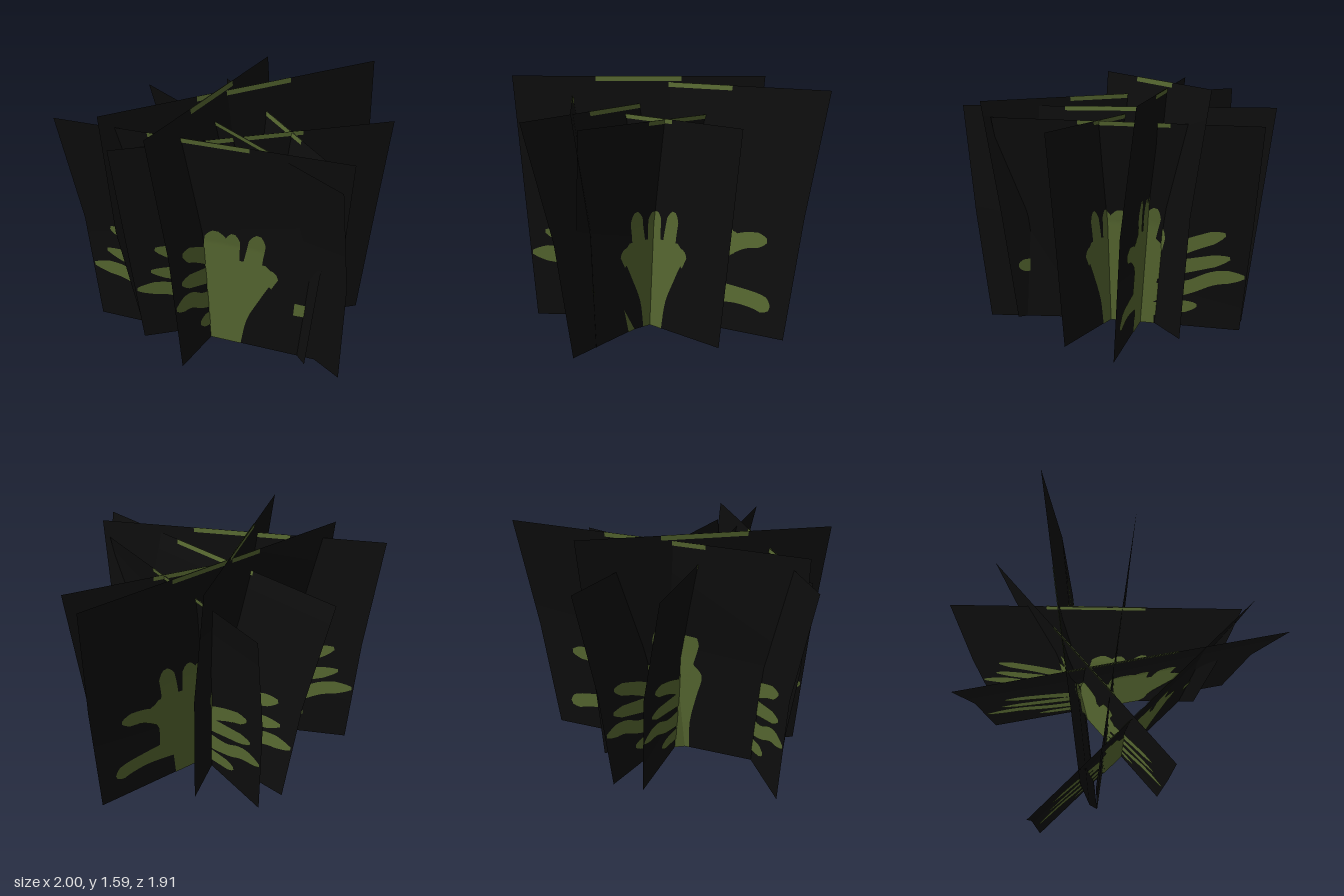
import * as THREE from 'three';

const dark = new THREE.MeshStandardMaterial({ color: 0x0d0d0d, side: THREE.DoubleSide });
dark.name = 'dark backing';
const green = new THREE.MeshStandardMaterial({ color: 0x566730, side: THREE.DoubleSide });
green.name = 'leaf green';

// Pattern space of the foliage: centred width and height
const W = 1.77, H = 1.46;

// Strokes as [x, y, half width]
const fan = [
  [[.03, 0, .22], [.05, .2, .24], [.08, .4, .31], [.1, .56, .36], [.1, .63, .3]],
  [[.4, .5, .06], [.46, .59, .05]],
  [[.3, .52, .07], [.32, .68, .06], [.35, .84, .055]],
  [[.06, .5, .1], [.06, .68, .09], [.06, .82, .07]],
  [[.17, .55, .05], [.17, .7, .05], [.18, .82, .045]],
  [[-.1, .5, .07], [-.15, .68, .06], [-.2, .85, .055]],
];
const leftBranches = [
  [[-.15, .46, .06], [-.45, .6, .05], [-.7, .69, .045]],
  [[-.15, .38, .06], [-.45, .45, .05], [-.75, .52, .04]],
  [[-.12, .22, .07], [-.45, .29, .05], [-.65, .37, .05], [-.87, .39, .045]],
  [[-.12, .1, .05], [-.53, .16, .04]],
];
const rightBranches = [
  [[.25, .22, .07], [.5, .22, .05], [.66, .2, .05], [.75, .17, .05]],
  [[.25, .42, .07], [.5, .55, .05], [.67, .57, .045]],
  [[.33, .25, .06], [.36, .66, .04]],
];
const rightLeaf = [[[.62, .35, .045], [.82, .35, .04]]];

// Each card: height and its bottom, middle and top edges as [x0, z0, x1, z1]
const cards = [
  { name: 'frontCard', h: 1.46, strokes: [...fan, ...leftBranches, ...rightLeaf],
    rows: [[-.8, .372, .79, .475], [-.88, .4, .885, .51], [-1, .51, .965, .62]] },
  { name: 'longDiagonalCard', h: 1.41, strokes: [...fan, ...leftBranches],
    rows: [[-.425, -.41, .92, .62], [-.543, -.43, .97, .725], [-.72, -.377, .965, .906]] },
  { name: 'backLeftCard', h: 1.55, strokes: [...fan, ...rightBranches],
    rows: [[-.4, .555, .725, -.69], [-.56, .615, .745, -.805], [-.65, .61, .725, -.96]] },
  { name: 'backRightCard', h: 1.355, strokes: [...fan, ...leftBranches],
    rows: [[-.29, -.57, .68, .545], [-.318, -.666, .77, .585], [-.297, -.805, .91, .58]] },
  { name: 'uprightCard', h: 1.36, strokes: [...fan, ...leftBranches],
    rows: [[-.41, .563, .83, -.267], [-.49, .615, .91, -.32], [-.57, .666, .995, -.37]] },
  { name: 'sideCard', h: 1.59, strokes: [...fan, ...leftBranches],
    rows: [[-.045, .815, .142, -.516], [-.094, .885, .12, -.6], [-.2, .955, .035, -.7]] },
];

// Point on a bent card, moved off its surface by a small distance
function onCard(card, u, v, off = 0) {
  const i = v < 0.5 ? 0 : 1, t = v * 2 - i;
  const r = card.rows[i].map((a, k) => a + (card.rows[i + 1][k] - a) * t);
  const dx = r[2] - r[0], dz = r[3] - r[1], len = Math.hypot(dx, dz);
  return [r[0] + dx * u - dz / len * off, v * card.h, r[1] + dz * u + dx / len * off];
}

// Strip of quads between pairs of points
function strip(pairs, material, name) {
  const index = [];
  for (let i = 0; i < pairs.length - 1; i++) {
    const a = i * 2;
    index.push(a, a + 1, a + 3, a, a + 3, a + 2);
  }
  const g = new THREE.BufferGeometry();
  g.setAttribute('position', new THREE.Float32BufferAttribute(pairs.flat(2), 3));
  g.setIndex(index);
  g.computeVertexNormals();
  const mesh = new THREE.Mesh(g, material);
  mesh.name = name;
  return mesh;
}

// Painted branch with a rounded tip, following the card's surface
function branch(card, points, off, isTrunk) {
  const curve = new THREE.CatmullRomCurve3(points.map(p => new THREE.Vector3(...p)));
  const n = 16, pairs = [];
  for (let i = 0; i <= n; i++) {
    const t = i / n, p = curve.getPoint(t), d = curve.getTangent(t);
    const len = Math.hypot(d.x, d.y);
    const w = p.z * (isTrunk ? 1 : Math.sqrt(Math.min(1, (1 - t) * 5 + 0.08)));
    const nx = isTrunk ? -1 : -d.y / len, ny = isTrunk ? 0 : d.x / len;
    pairs.push([1, -1].map(s => onCard(card,
      THREE.MathUtils.clamp((p.x + nx * w * s) / W + 0.5, 0, 1),
      Math.max(0, (p.y + ny * w * s) / H), off)));
  }
  return strip(pairs, green, isTrunk ? 'trunk' : 'branch');
}

export function createModel() {
  const model = new THREE.Group();
  model.name = 'shrub';
  for (const card of cards) {
    const group = new THREE.Group();
    group.name = card.name;
    // Bent backing sheet
    group.add(strip([0, 0.5, 1].map(v => [onCard(card, 0, v), onCard(card, 1, v)]), dark, 'backing'));
    // Foliage and top band on both faces
    for (const off of [0.004, -0.004]) {
      card.strokes.forEach((s, i) => group.add(branch(card, s, off, i === 0)));
      group.add(strip([0.98, 1].map(v => [onCard(card, 0.33, v, off), onCard(card, 0.67, v, off)]), green, 'topBand'));
    }
    model.add(group);
  }
  return model;
}
